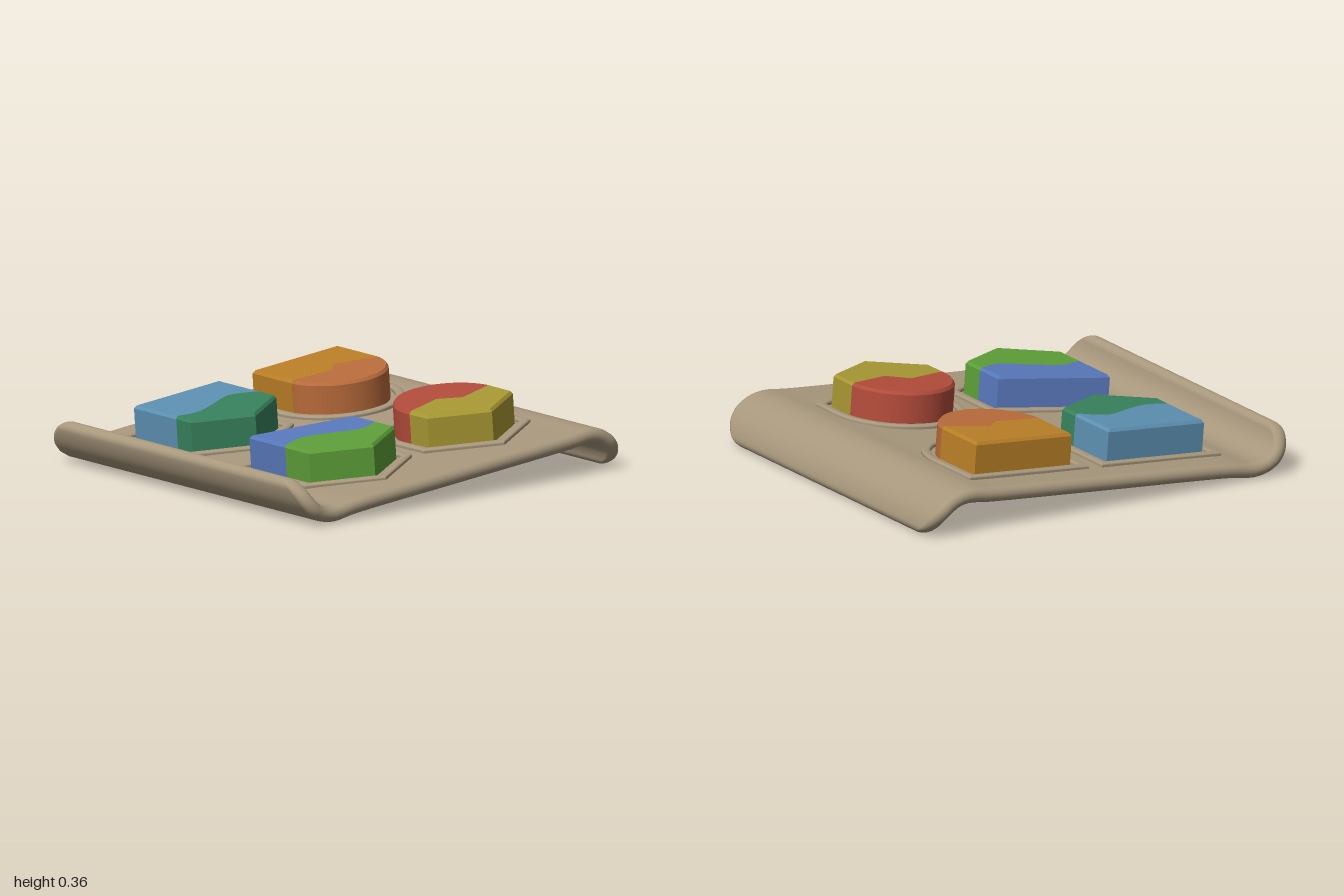
import * as THREE from 'three';
import { toCreasedNormals } from 'three/addons/utils/BufferGeometryUtils.js';

const V = (x, y) => new THREE.Vector2(x, y);
const mat = (name, color) => new THREE.MeshStandardMaterial({ name, color });
const add = (parent, name, geometry, material) => {
  const mesh = new THREE.Mesh(geometry, material);
  mesh.name = name;
  parent.add(mesh);
  return mesh;
};

// Half arc from the far point (y > 0) to the near point, on side -1 or +1
const arc = (side, r = 0.265, n = 28) => Array.from({ length: n + 1 }, (_, i) => {
  const a = (i / n) * Math.PI;
  return V(side * r * Math.sin(a), r * Math.cos(a));
});

// Half outlines, in the tile plane with y pointing to the back
const halves = {
  squareLeft: [V(-0.26, 0.262), V(-0.26, -0.262)],
  roundLeft: arc(-1),
  slantLeft: [V(-0.14, 0.262), V(-0.28, -0.262)],
  roundRight: arc(1),
  hexRight: [V(0.145, 0.262), V(0.3, 0), V(0.145, -0.262)],
};

// Mitred offset of a counter-clockwise outline
function offset(points, d) {
  const n = points.length;
  return points.map((p, i) => {
    const a = p.clone().sub(points[(i + n - 1) % n]).normalize();
    const b = points[(i + 1) % n].clone().sub(p).normalize();
    const na = V(a.y, -a.x), nb = V(b.y, -b.x);
    const m = na.clone().add(nb);
    return p.clone().add(m.multiplyScalar(d / (1 + na.dot(nb))));
  });
}

// Raised band around an outline, lying flat
function band(outline, inner, outer, height) {
  const bevel = 0.01;
  const shape = new THREE.Shape(offset(outline, outer - bevel));
  shape.holes.push(new THREE.Path(offset(outline, inner + bevel)));
  const g = new THREE.ExtrudeGeometry(shape, {
    depth: height - bevel, bevelSize: bevel, bevelThickness: bevel, bevelSegments: 3,
  });
  return toCreasedNormals(g.rotateX(-Math.PI / 2), 0.7);
}

// Half of a block; the top layer is drawn in for a chamfered edge
function halfBlock(points, height) {
  const steps = 12;
  const g = new THREE.ExtrudeGeometry(new THREE.Shape(points), { depth: height, steps, bevelEnabled: false });
  const p = g.attributes.position;
  for (let i = 0; i < p.count; i++) {
    if (p.getZ(i) > height - 1e-4) p.setXY(i, p.getX(i) * 0.96, p.getY(i) * 0.96);
  }
  return toCreasedNormals(g.rotateX(-Math.PI / 2), 0.5);
}

// Plate with rounded corners and edges, swept along an S-shaped profile
function trayGeometry() {
  const curve = new THREE.CatmullRomCurve3([
    [0.225, 0.965], [0.175, 0.955], [0.115, 0.925], [0.066, 0.87], [0.048, 0.79], [0.066, 0.66],
    [0.12, 0], [0.174, -0.66], [0.187, -0.78], [0.167, -0.86], [0.115, -0.922], [0.06, -0.953], [0.008, -0.966],
  ].map(([y, z]) => new THREE.Vector3(0, y, z)), false, 'centripetal');
  curve.arcLengthDivisions = 800;
  const length = curve.getLength();
  const r = 0.036, R = 0.17, W = 0.92, arcN = 10;
  const ends = [];
  for (let i = 0; i <= 8; i++) ends.push(r * (1 - Math.cos((i / 8) * Math.PI / 2)));
  for (let i = 1; i <= 10; i++) ends.push(r + (R - r) * i / 10);
  const stations = [...ends];
  for (let i = 1; i < 50; i++) stations.push(R + (length - 2 * R) * i / 50);
  stations.push(...ends.slice().reverse().map((d) => length - d));

  const pos = [], index = [], ring = 2 * (arcN + 1);
  stations.forEach((s, k) => {
    const u = THREE.MathUtils.clamp(s / length, 0, 1);
    const c = curve.getPointAt(u), t = curve.getTangentAt(u);
    const d = Math.max(0, Math.min(s, length - s));
    const h = d < r ? Math.sqrt(Math.max(0, r * r - (r - d) ** 2)) : r;
    const w = d < R ? W - R + Math.sqrt(Math.max(0, R * R - (R - d) ** 2)) : W;
    for (let side = 0; side < 2; side++) {
      for (let i = 0; i <= arcN; i++) {
        const a = -Math.PI / 2 + (i / arcN + side) * Math.PI;
        const x = (side ? -1 : 1) * (w - h) + h * Math.cos(a), v = h * Math.sin(a);
        pos.push(x, c.y - t.z * v, c.z + t.y * v);
      }
    }
    if (k === stations.length - 1) return;
    for (let i = 0; i < ring; i++) {
      const a = k * ring + i, e = k * ring + (i + 1) % ring;
      index.push(a, a + ring, e, a + ring, e + ring, e);
    }
  });
  const g = new THREE.BufferGeometry();
  g.setAttribute('position', new THREE.Float32BufferAttribute(pos, 3));
  g.setIndex(index);
  g.computeVertexNormals();
  return g;
}

export function createModel() {
  const model = new THREE.Group();
  model.name = 'shapeTray';
  const tan = mat('tan', 0xa8987d);
  add(model, 'tray', trayGeometry(), tan);

  // Tilted plane that carries the blocks and pocket rims
  const deck = new THREE.Group();
  deck.name = 'deck';
  deck.position.y = 0.12;
  deck.rotation.x = Math.atan(0.081);
  model.add(deck);

  const wave = (pts) => new THREE.SplineCurve(pts.map(([x, y]) => V(x, y))).getPoints(24);
  const sharp = (pts) => pts.map(([x, y]) => V(x, y));
  const tiles = [
    { name: 'squareRoundBlock', x: -0.44, z: -0.366, left: 'squareLeft', right: 'roundRight',
      colors: [mat('amber', 0xbb8027), mat('orange', 0xba6c3b)],
      cut: sharp([[0.04, 0.262], [-0.035, 0.05], [0.035, -0.03], [0.02, -0.262]]) },
    { name: 'roundHexBlock', x: 0.4, z: -0.366, left: 'roundLeft', right: 'hexRight',
      colors: [mat('red', 0xb34c3b), mat('yellow', 0xa89833)],
      cut: sharp([[-0.02, 0.264], [0.04, 0.05], [-0.04, -0.05], [0.02, -0.264]]) },
    { name: 'squareHexBlock', x: -0.44, z: 0.36, left: 'squareLeft', right: 'hexRight',
      colors: [mat('skyBlue', 0x5d91b2), mat('teal', 0x38825d)],
      cut: wave([[0.03, 0.262], [-0.035, 0.13], [0.03, -0.04], [0.065, -0.16], [0.04, -0.262]]) },
    { name: 'slantHexBlock', x: 0.4, z: 0.36, left: 'slantLeft', right: 'hexRight',
      colors: [mat('blue', 0x5979bc), mat('green', 0x5e9f39)],
      cut: wave([[0.02, 0.262], [0.055, 0.14], [-0.02, -0.02], [-0.06, -0.15], [-0.025, -0.262]]) },
  ];

  for (const t of tiles) {
    const group = new THREE.Group();
    group.name = t.name;
    group.position.set(t.x, 0, t.z);
    deck.add(group);
    const left = halves[t.left], right = halves[t.right];
    const outline = [...left, ...right.slice().reverse()];

    add(group, 'pocketRim', band(outline, 0.022, 0.065, 0.02), tan).position.y = 0.034;

    // Drop side points that coincide with or overrun the ends of the cut
    const trim = (pts, s) => pts.filter((p) =>
      Math.abs(p.y) < 0.2 || s * (p.x - (p.y > 0 ? t.cut[0] : t.cut[t.cut.length - 1]).x) > 0.004);
    const sides = [trim(left, -1), trim(right, 1)];
    sides.forEach((side, i) => {
      add(group, i ? 'rightHalf' : 'leftHalf',
        halfBlock([...t.cut, ...side.slice().reverse()], 0.17), t.colors[i]).position.y = 0.026;
    });
  }

  // Pocket outlines pressed through to the underside
  const hexagon = Array.from({ length: 6 }, (_, i) => V(0.3 * Math.cos(i * Math.PI / 3), 0.3 * Math.sin(i * Math.PI / 3)));
  const circle = Array.from({ length: 48 }, (_, i) => V(0.265 * Math.cos(i * Math.PI / 24), 0.265 * Math.sin(i * Math.PI / 24)));
  const under = [
    [hexagon, 0.4, -0.366],
    [circle, -0.42, 0.36],
    [[V(-0.08, 0.26), V(-0.26, -0.26), V(0.12, -0.26), V(0.27, 0.26)], -0.42, -0.366],
    [[...halves.slantLeft, ...halves.hexRight.slice().reverse()], 0.4, 0.36],
  ];
  for (const [outline, x, z] of under) {
    add(deck, 'undersideRidge', band(outline, 0.01, 0.055, 0.022), tan).position.set(x, -0.038, z);
  }
  return model;
}
